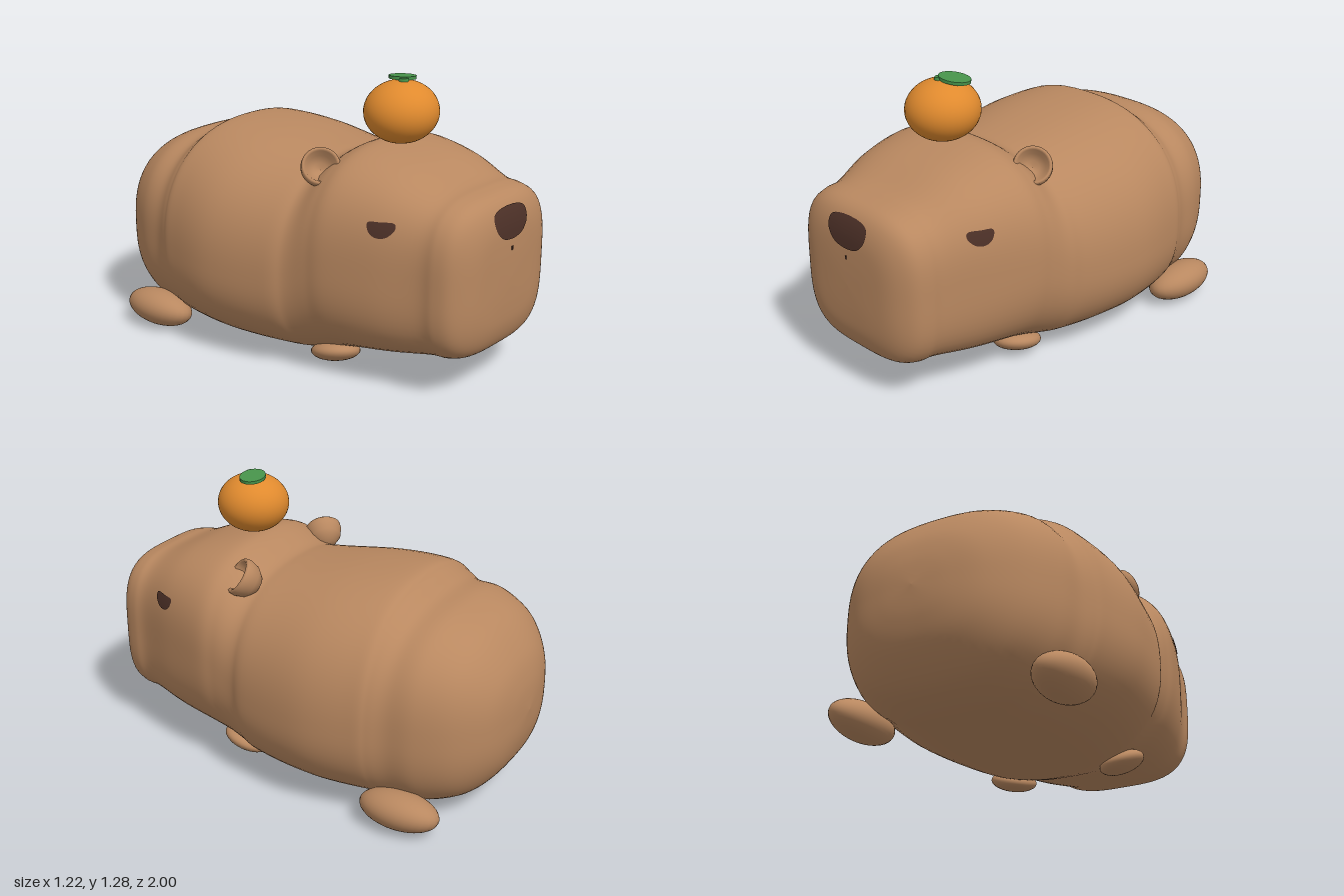
import * as THREE from 'three';

// Body sections, nose to rump: z, half width, bottom, top
const SECTIONS = [
  [0.997, 0, 0.51, 0.51], [0.994, 0.13, 0.38, 0.64], [0.985, 0.23, 0.29, 0.74], [0.96, 0.3, 0.22, 0.81],
  [0.92, 0.35, 0.18, 0.85], [0.86, 0.373, 0.16, 0.868], [0.78, 0.383, 0.152, 0.882], [0.6, 0.45, 0.117, 0.955],
  [0.4, 0.505, 0.08, 1.0], [0.3, 0.512, 0.05, 0.985], [0.2, 0.525, 0.022, 0.93], [0.1, 0.563, 0.012, 0.934],
  [-0.2, 0.61, 0.005, 0.975], [-0.44, 0.58, 0.005, 0.988], [-0.51, 0.556, 0.006, 0.955], [-0.58, 0.528, 0.01, 0.912],
  [-0.7, 0.505, 0.025, 0.896], [-0.84, 0.43, 0.085, 0.83], [-0.94, 0.305, 0.2, 0.71], [-0.985, 0.16, 0.325, 0.59],
  [-1, 0, 0.46, 0.46],
];
const spline = (i, j) => new THREE.SplineCurve(SECTIONS.map((s) => new THREE.Vector2(s[i], s[j])));
const plan = spline(0, 1), heights = spline(2, 3);
const { smoothstep } = THREE.MathUtils;

// Outline at t: the muzzle and rump are squarer, the belly is rounder and widest lower down
function section(t) {
  const { x: z, y: w } = plan.getPoint(t), { x: bottom, y: top } = heights.getPoint(t);
  const n = 2.4 + 1.1 * smoothstep(z, 0.1, 1) + 0.25 * smoothstep(-z, 0.45, 0.7);
  const widest = 0.43 + 0.07 * (smoothstep(z, -0.05, 0.4) + smoothstep(-z, 0.4, 0.65));
  return { z, w: Math.max(w, 0), n, bottom, top, mid: bottom + (top - bottom) * widest };
}

function bisect(lo, hi, test) {
  for (let i = 0; i < 30; i++) {
    const m = (lo + hi) / 2;
    if (test(m)) lo = m; else hi = m;
  }
  return (lo + hi) / 2;
}

// Half width of a section at height y (negative when outside)
function halfWidth(s, y) {
  const v = Math.abs(y - s.mid) / Math.max(y > s.mid ? s.top - s.mid : s.mid - s.bottom, 1e-5);
  return v >= 1 ? -1 : s.w * Math.pow(1 - Math.pow(v, s.n), 1 / s.n);
}
const sideX = (y, z) => halfWidth(section(bisect(0, 1, (t) => section(t).z > z)), y);
const frontZ = (x, y) => section(bisect(0, 0.25, (t) => halfWidth(section(t), y) < Math.abs(x))).z;

function indexed(pos, index) {
  const g = new THREE.BufferGeometry();
  g.setAttribute('position', new THREE.Float32BufferAttribute(pos, 3));
  g.setIndex(index);
  g.computeVertexNormals();
  return g;
}

// Joins rows of points, each row a closed ring
function ringGeometry(rows, cols, point) {
  const pos = [], index = [];
  for (let i = 0; i <= rows; i++) {
    for (let j = 0; j < cols; j++) {
      pos.push(...point(i, j));
      if (i === rows) continue;
      const p = i * cols + j, q = i * cols + (j + 1) % cols;
      index.push(p, p + cols, q, q, p + cols, q + cols);
    }
  }
  return indexed(pos, index);
}

function bodyGeometry(rows = 130, cols = 80) {
  return ringGeometry(rows, cols, (i, j) => {
    const s = section(i / rows);
    const a = (j / cols) * Math.PI * 2, c = Math.cos(a), d = Math.sin(a);
    const r = Math.pow(Math.abs(c) ** s.n + Math.abs(d) ** s.n, -1 / s.n);
    return [s.w * r * c, s.mid + r * d * (d > 0 ? s.top - s.mid : s.mid - s.bottom), s.z];
  });
}

// Thin patch: rings inside a closed outline, each point laid on the skin by place(u, v)
function patchGeometry(outline, place, rings = 6, n = 40) {
  const curve = new THREE.CatmullRomCurve3(outline.map(([u, v]) => new THREE.Vector3(u, v, 0)), true);
  const pts = curve.getPoints(n).slice(0, n);
  const mid = pts.reduce((m, p) => m.addScaledVector(p, 1 / n), new THREE.Vector3());
  return ringGeometry(rings, n, (i, j) => {
    const p = mid.clone().lerp(pts[j], i / rings);
    return place(p.x, p.y);
  });
}

export function createModel() {
  const model = new THREE.Group();
  const material = (name, color, side = THREE.FrontSide) => {
    const m = new THREE.MeshStandardMaterial({ color, side });
    m.name = name;
    return m;
  };
  const fur = material('brown fur', 0xb98860);
  const dark = material('dark brown', 0x4c3027, THREE.DoubleSide);
  const peel = material('orange peel', 0xe08a2e);
  const green = material('leaf green', 0x47934a);

  const add = (name, geometry, mat, position = [0, 0, 0], rotation = [0, 0, 0], scale = [1, 1, 1]) => {
    const mesh = new THREE.Mesh(geometry, mat);
    mesh.name = name;
    mesh.position.set(...position);
    mesh.rotation.set(...rotation);
    mesh.scale.set(...scale);
    model.add(mesh);
    return mesh;
  };

  add('body', bodyGeometry(), fur);

  // Nose and mouth
  const noseHalf = [[0.075, 0.808], [0.114, 0.788], [0.113, 0.738], [0.075, 0.695], [0.03, 0.681]];
  const noseOutline = [...noseHalf, ...noseHalf.map(([x, y]) => [-x, y]).reverse()];
  add('nose', patchGeometry(noseOutline, (x, y) => [x, y, frontZ(x, y) + 0.004]), dark);
  add('mouth', new THREE.BoxGeometry(0.008, 0.016, 0.006), dark, [0, 0.637, frontZ(0, 0.637)]);

  // Shared shapes for the paired parts
  const ball = new THREE.SphereGeometry(1, 28, 20);
  const earProfile = [[0, -0.085], [0.045, -0.075], [0.075, -0.04], [0.086, 0], [0.084, 0.022],
    [0.076, 0.03], [0.067, 0.024], [0.055, -0.005], [0.03, -0.03], [0, -0.038]];
  const earGeometry = new THREE.LatheGeometry(earProfile.map((p) => new THREE.Vector2(...p)), 32);
  const eyeOutline = [[0.578, 0.768], [0.63, 0.774], [0.684, 0.772], [0.69, 0.75], [0.66, 0.716], [0.62, 0.711], [0.588, 0.732]];

  for (const [side, s] of [['left', 1], ['right', -1]]) {
    add(side + 'Eye', patchGeometry(eyeOutline, (z, y) => [s * (sideX(y, z) + 0.004), y, z]), dark);
    const ear = add(side + 'Ear', earGeometry, fur, [s * 0.337, 0.915, 0.248]);
    ear.quaternion.setFromUnitVectors(new THREE.Vector3(0, 1, 0), new THREE.Vector3(s * 0.6, 0.55, 0.58).normalize());
    add(side + 'FrontFoot', ball, fur, [s * 0.28, 0.067, 0.285], [-0.25, 0, s * 0.25], [0.103, 0.047, 0.115]);
    add(side + 'RearFoot', ball, fur, [s * 0.48, 0.095, -0.635], [0, 0, s * 0.3], [0.11, 0.085, 0.185]);
  }

  // Fruit balanced on the head
  add('fruit', new THREE.SphereGeometry(1, 40, 28), peel, [-0.017, 1.128, 0.428], [0, 0, 0.06], [0.164, 0.136, 0.164]);
  add('fruitStem', new THREE.CylinderGeometry(0.02, 0.026, 0.03, 10), green, [-0.022, 1.259, 0.44]);
  add('leaf', new THREE.CylinderGeometry(1, 1, 0.014, 28), green, [0.027, 1.266, 0.398], [0, 0.3, -0.1], [0.073, 1, 0.058]);

  return model;
}
